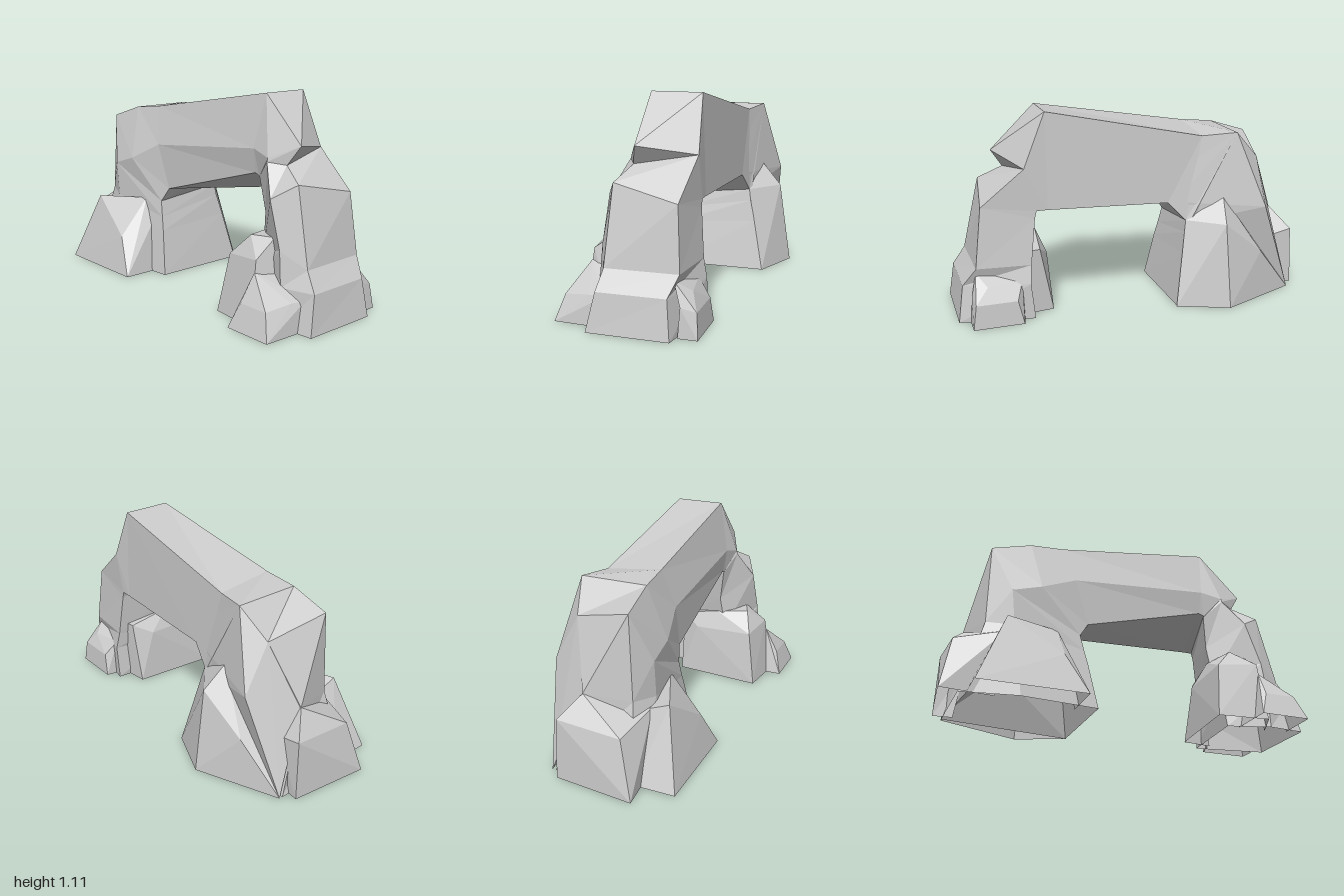
import * as THREE from 'three';
import { ConvexGeometry } from 'three/addons/geometries/ConvexGeometry.js';

const rock = new THREE.MeshStandardMaterial({ color: 0xcccccc, flatShading: true, side: THREE.DoubleSide });

function rockMesh(name, positions) {
  const g = new THREE.BufferGeometry();
  g.setAttribute('position', new THREE.Float32BufferAttribute(positions, 3));
  g.computeVertexNormals();
  const mesh = new THREE.Mesh(g, rock);
  mesh.name = name;
  return mesh;
}

// Skin a row of five-sided rings, leaving both ends open
function loft(name, rings) {
  const out = [];
  for (let i = 0; i < rings.length - 1; i++) {
    const n = rings[i].length;
    for (let j = 0; j < n; j++) {
      const k = (j + 1) % n;
      const a = rings[i][j], b = rings[i][k], c = rings[i + 1][k], d = rings[i + 1][j];
      out.push(...a, ...b, ...c, ...a, ...c, ...d);
    }
  }
  return rockMesh(name, out);
}

// Convex boulder, left open underneath and on the side buried in the leg
function boulder(name, outer, buried) {
  const toVector = v => new THREE.Vector3(...v);
  const hidden = buried.map(toVector);
  const p = new ConvexGeometry([...outer.map(toVector), ...hidden]).attributes.position;
  const out = [];
  for (let i = 0; i < p.count; i += 3) {
    const tri = [0, 1, 2].map(k => new THREE.Vector3().fromBufferAttribute(p, i + k));
    const isGround = tri.every(v => v.y < 0.001);
    const isBuried = tri.every(v => hidden.some(h => h.distanceTo(v) < 0.001));
    if (!isGround && !isBuried) tri.forEach(v => out.push(v.x, v.y, v.z));
  }
  return rockMesh(name, out);
}

export function createModel() {
  const group = new THREE.Group();
  group.name = 'rockArch';

  // Ring order: outer left, outer right, inner right, inner left, left bulge
  const frontTop = [[-0.085, 0.87, 0.755], [0.2, 0.82, 0.63], [0.2, 0.59, 0.57], [-0.12, 0.69, 0.5], [-0.16, 0.8, 0.6]];
  const rearTop = [[-0.11, 0.945, -0.55], [0.255, 0.945, -0.55], [0.24, 0.465, -0.26], [-0.16, 0.42, -0.27], [-0.2, 0.65, -0.5]];

  // Front leg, from the ground to the overhanging ledge
  group.add(loft('frontLeg', [
    [[-0.255, 0, 1], [0.17, 0, 1], [0.24, 0, 0.6], [-0.2, 0, 0.57], [-0.27, 0, 0.8]],
    [[-0.21, 0.2, 0.975], [0.15, 0.2, 0.97], [0.24, 0.2, 0.62], [-0.17, 0.2, 0.56], [-0.26, 0.2, 0.8]],
    [[-0.19, 0.3, 0.91], [0.19, 0.3, 0.9], [0.22, 0.3, 0.61], [-0.12, 0.3, 0.54], [-0.25, 0.38, 0.78]],
    [[-0.17, 0.7, 0.82], [0.17, 0.625, 0.86], [0.2, 0.55, 0.58], [-0.09, 0.5, 0.52], [-0.24, 0.62, 0.7]],
    [[-0.115, 0.77, 0.69], [0.2, 0.82, 0.63], [0.2, 0.59, 0.57], [-0.115, 0.68, 0.5], [-0.165, 0.78, 0.6]],
    frontTop,
  ]));

  // Span between the legs
  group.add(loft('span', [
    frontTop,
    [[-0.085, 1.11, 0.51], [0.185, 1.11, 0.51], [0.2, 0.59, 0.51], [-0.12, 0.7, 0.47], [-0.14, 0.83, 0.48]],
    [[-0.1, 0.965, -0.36], [0.21, 0.93, -0.36], [0.22, 0.57, -0.16], [-0.14, 0.5, -0.22], [-0.155, 0.75, -0.3]],
    rearTop,
  ]));

  // Rear leg, down to the ground
  group.add(loft('rearLeg', [
    rearTop,
    [[-0.12, 0.875, -0.77], [0.2, 0.79, -0.7], [0.25, 0.4, -0.25], [-0.17, 0.33, -0.25], [-0.2, 0.6, -0.66]],
    [[-0.14, 0.42, -0.78], [0.1, 0.45, -0.85], [0.28, 0.28, -0.23], [-0.18, 0.25, -0.23], [-0.2, 0.4, -0.64]],
    [[-0.2, 0, -0.9], [0.25, 0, -0.9], [0.34, 0, -0.18], [-0.21, 0, -0.18], [-0.25, 0, -0.6]],
  ]));

  // Boulders around the rear foot
  group.add(boulder('rearShoulder',
    [[0.255, 0.945, -0.55], [0.2, 0.79, -0.7], [0.34, 0.53, -0.7], [0.27, 0, -0.9]],
    [[0.21, 0.92, -0.36], [0.215, 0.57, -0.2], [0.24, 0.45, -0.3], [0.05, 0.4, -0.6], [0.1, 0.45, -0.845]]));
  group.add(boulder('rearRightBoulder',
    [[0.455, 0, -0.45], [0.39, 0.465, -0.44], [0.345, 0.27, -0.68]],
    [[0.34, 0, -0.175], [0.24, 0.465, -0.26], [0.27, 0.595, -0.47], [0.27, 0, -0.9]]));
  group.add(boulder('rearBlock',
    [[-0.23, 0, -1], [0.21, 0, -0.955], [0.2, 0.33, -0.945], [-0.15, 0.3, -0.94]],
    [[0.1, 0.45, -0.85], [-0.2, 0.36, -0.68], [-0.2, 0, -0.72], [0.2, 0, -0.85], [0.2, 0.3, -0.8]]));
  group.add(boulder('rearLeftBoulder',
    [[-0.4, 0, -0.86], [-0.4, 0, -0.29], [-0.35, 0.21, -0.41], [-0.3, 0.4, -0.7]],
    [[-0.17, 0.42, -0.4], [-0.16, 0.3, -0.34], [-0.15, 0, -0.29], [-0.18, 0, -0.86], [-0.17, 0.35, -0.7]]));

  // Boulders around the front foot
  group.add(boulder('frontLeftBoulder',
    [[-0.46, 0, 0.64], [-0.46, 0, 0.91], [-0.42, 0.13, 0.69], [-0.42, 0.13, 0.86], [-0.28, 0.15, 0.89], [-0.34, 0.27, 0.7]],
    [[-0.2, 0.15, 0.91], [-0.23, 0, 0.92], [-0.2, 0, 0.64], [-0.22, 0.27, 0.7]]));
  group.add(boulder('frontRearBoulder',
    [[-0.35, 0, 0.44], [0.15, 0, 0.48], [-0.3, 0.31, 0.48], [0.05, 0.3, 0.49], [0.16, 0.36, 0.55],
      [-0.07, 0.41, 0.53], [-0.25, 0.42, 0.58], [-0.33, 0.33, 0.7], [-0.38, 0, 0.72]],
    [[-0.2, 0.42, 0.7], [-0.2, 0, 0.8], [0.17, 0.36, 0.62], [0.17, 0, 0.65]]));
  group.add(boulder('frontRightBoulder',
    [[0.29, 0, 0.67], [0.29, 0, 0.94], [0.28, 0.13, 0.92], [0.28, 0.13, 0.7], [0.24, 0.21, 0.85]],
    [[0.2, 0.15, 0.93], [0.19, 0, 0.94], [0.2, 0, 0.65], [0.21, 0.22, 0.66], [0.16, 0.27, 0.9]]));

  return group;
}
